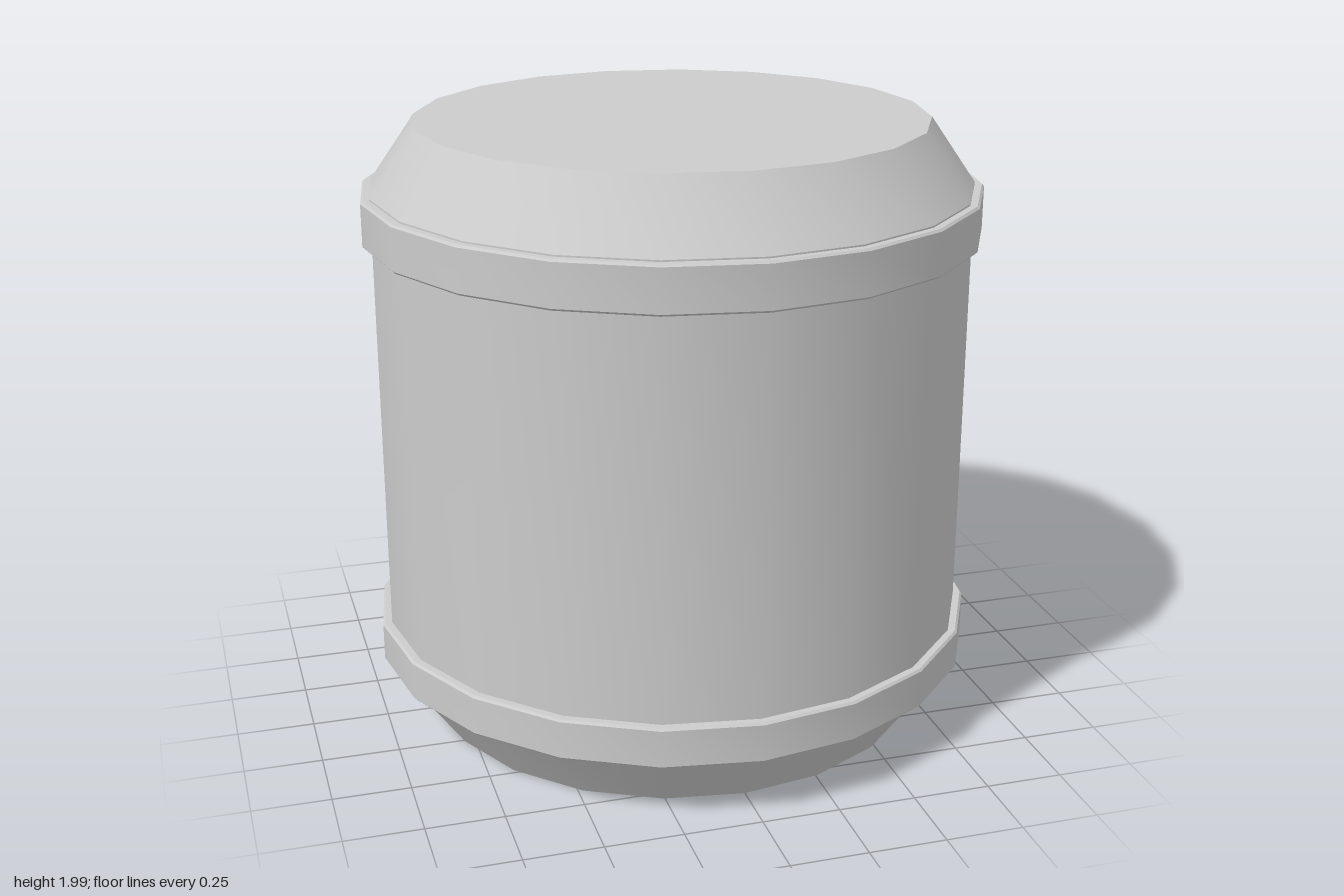
import * as THREE from 'three';
import { toCreasedNormals } from 'three/addons/utils/BufferGeometryUtils.js';

const SIDES = 20;

export function createModel() {
  const group = new THREE.Group();
  group.name = 'barrel';
  const material = new THREE.MeshStandardMaterial({ color: 0xcccccc });

  // Revolve a [radius, height] profile, smooth around the side, sharp at the rims
  const addLathe = (name, profile) => {
    const points = profile.map(([r, y]) => new THREE.Vector2(r, y));
    const geometry = toCreasedNormals(new THREE.LatheGeometry(points, SIDES), Math.PI / 6);
    const mesh = new THREE.Mesh(geometry, material);
    mesh.name = name;
    group.add(mesh);
  };

  // Drum with tapered ends and flat caps
  addLathe('body', [
    [0, 0], [0.825, 0], [0.97, 0.205], [0.97, 1.78], [0.825, 1.99], [0, 1.99],
  ]);

  // Raised hoop with finely bevelled edges
  const addBand = (name, bottom, top) => {
    const bevel = 0.007, inner = 0.95, outer = 1;
    addLathe(name, [
      [inner, bottom], [outer - bevel, bottom], [outer, bottom + bevel],
      [outer, top - bevel], [outer - bevel, top], [inner, top],
    ]);
  };
  addBand('lowerBand', 0.205, 0.34);
  addBand('upperBand', 1.625, 1.775);

  return group;
}
